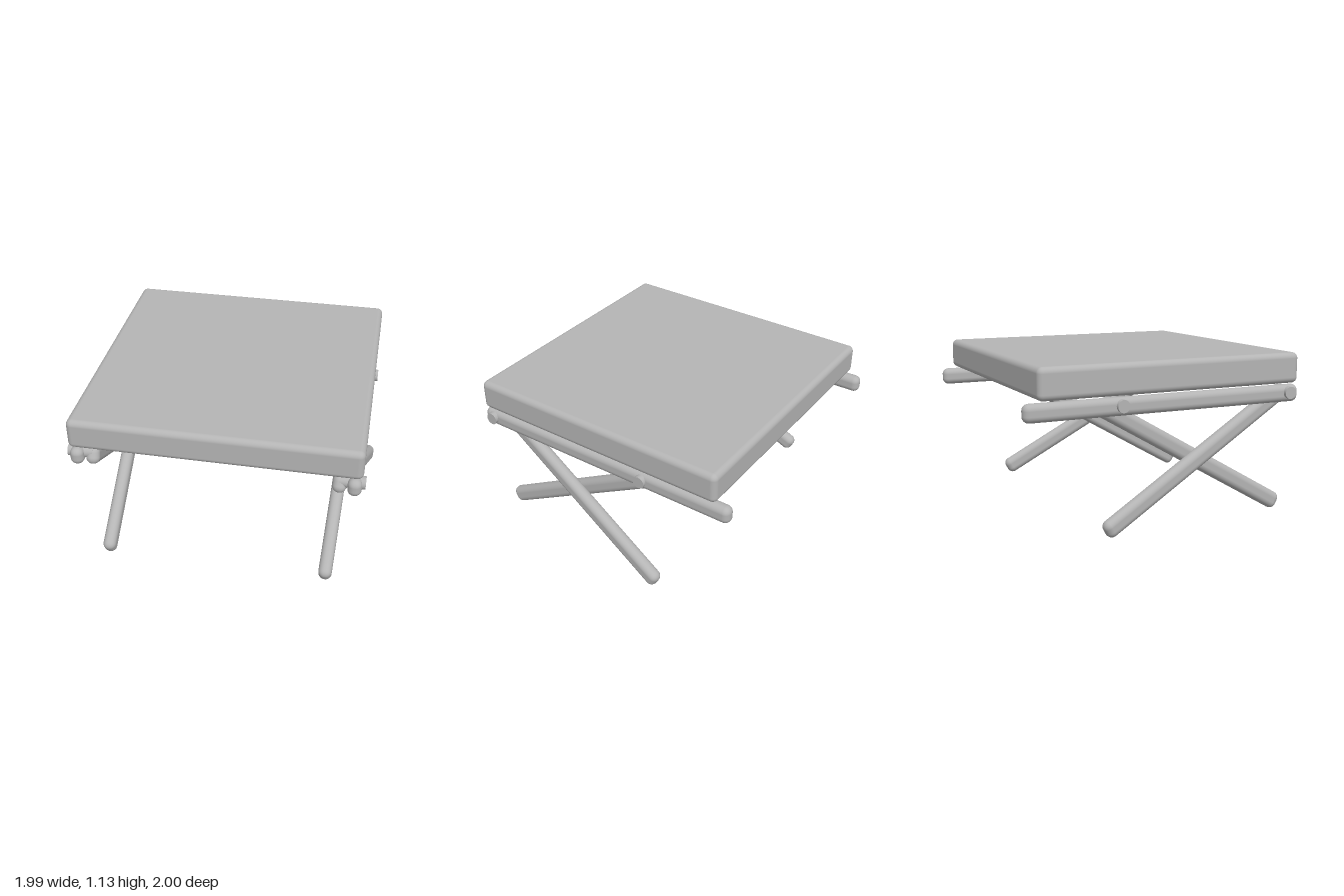
import * as THREE from 'three';
import { RoundedBoxGeometry } from 'three/addons/geometries/RoundedBoxGeometry.js';

export function createModel() {
  const model = new THREE.Group();
  model.name = 'foldingStool';
  const grey = new THREE.MeshStandardMaterial({ color: 0xb4b4b4 });
  grey.name = 'grey';

  function add(name, geometry) {
    const mesh = new THREE.Mesh(geometry, grey);
    mesh.name = name;
    model.add(mesh);
    return mesh;
  }

  // Rounded bar running between two end points
  function bar(name, from, to) {
    const a = new THREE.Vector3(...from), b = new THREE.Vector3(...to);
    const mesh = add(name, new RoundedBoxGeometry(0.09, 0.12, a.distanceTo(b), 6, 0.043));
    mesh.position.copy(a).add(b).multiplyScalar(0.5);
    mesh.lookAt(b);
  }

  // Seat cushion
  add('seat', new RoundedBoxGeometry(1.9, 0.21, 1.9, 6, 0.04)).position.set(0, 1.035, 0.04);

  for (const [side, s] of [['left', 1], ['right', -1]]) {
    // Rail under the seat edge
    bar(side + 'Rail', [s * 0.9, 0.86, -1], [s * 0.9, 0.86, 1]);

    // Crossing legs, one splayed outward and one slightly inward
    bar(side + 'OuterLeg', [s * 0.8, 0.87, 0.96], [s * 0.955, 0.065, -0.475]);
    bar(side + 'InnerLeg', [s * 0.803, 0.86, -0.46], [s * 0.755, 0.042, 0.963]);

    // Pivot pins through rail and leg
    for (const [end, z] of [['Front', 0.915], ['Back', -0.35]]) {
      const pin = add(side + end + 'Pin', new THREE.CylinderGeometry(0.042, 0.042, 0.167, 32));
      pin.rotation.z = Math.PI / 2;
      pin.position.set(s * 0.884, 0.868, z);
    }
  }
  return model;
}
